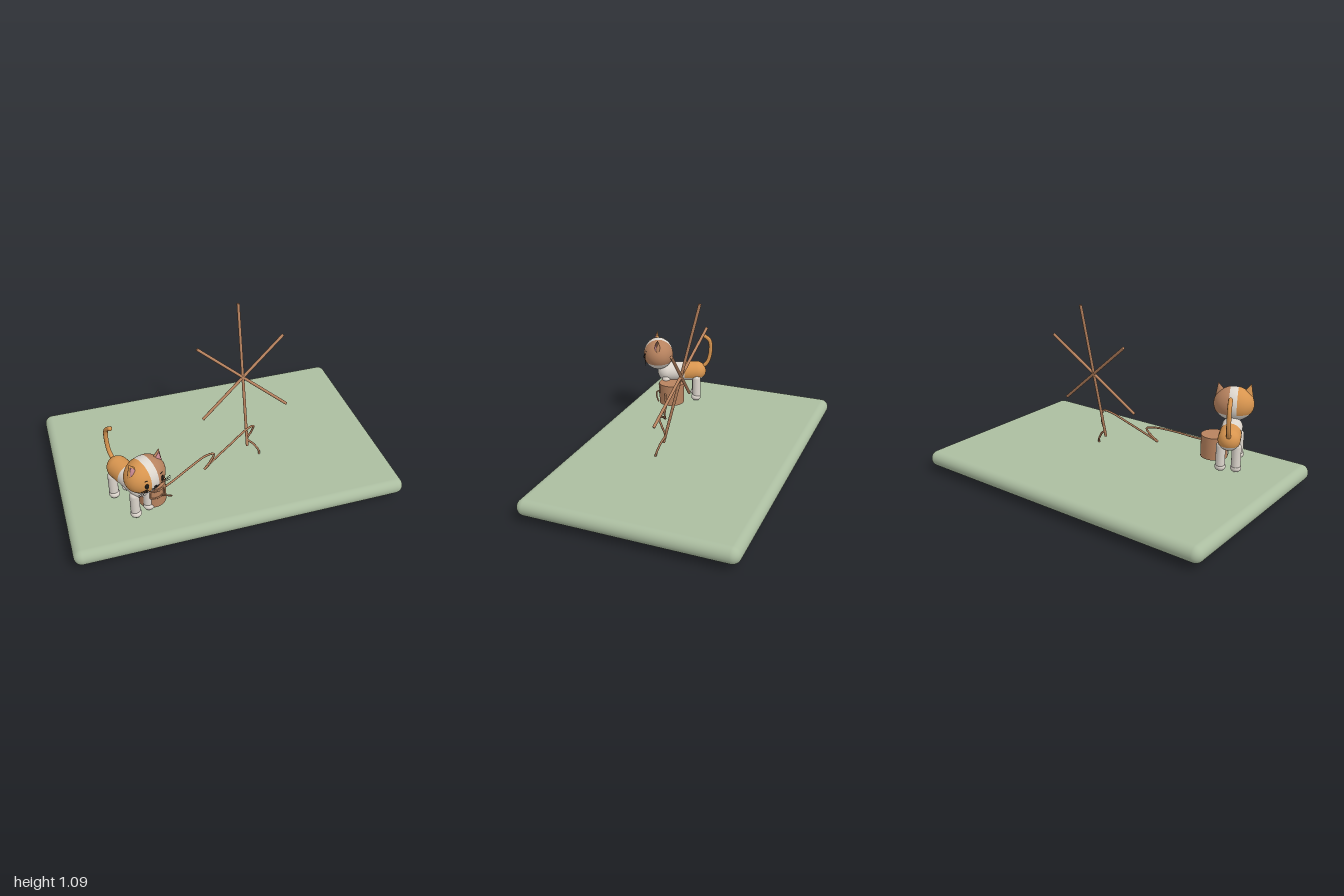
import * as THREE from 'three';
import { RoundedBoxGeometry } from 'three/addons/geometries/RoundedBoxGeometry.js';
import { ParametricGeometry } from 'three/addons/geometries/ParametricGeometry.js';

const material = (name, color) => {
  const m = new THREE.MeshStandardMaterial({ color });
  m.name = name;
  return m;
};

export function createModel() {
  const green = material('sage green', 0xabbda0);
  const brown = material('wood brown', 0xb8835f);
  const orange = material('ginger', 0xd8954f);
  const cream = material('cream white', 0xddd6cd);
  const pink = material('ear pink', 0xc98990);
  const dark = material('near black', 0x1c1815);

  const model = new THREE.Group();
  const add = (parent, name, geometry, mat, x = 0, y = 0, z = 0) => {
    const mesh = new THREE.Mesh(geometry, mat);
    mesh.name = name;
    mesh.position.set(x, y, z);
    parent.add(mesh);
    return mesh;
  };
  const tube = (parent, name, points, radius, mat, segments = 32, closed = false) => {
    const curve = new THREE.CatmullRomCurve3(points.map((p) => new THREE.Vector3(...p)), closed);
    add(parent, name, new THREE.TubeGeometry(curve, segments, radius, 8, closed), mat);
    if (closed) return;
    for (const p of [points[0], points[points.length - 1]]) {
      add(parent, name + 'End', new THREE.SphereGeometry(radius, 10, 8), mat, ...p);
    }
  };

  // Rounded ground slab
  add(model, 'groundSlab', new RoundedBoxGeometry(2, 0.1, 1.286, 6, 0.0495), green, 0, 0.085, 0);

  // Leaning star of three crossed sticks
  const star = new THREE.Group();
  star.name = 'stickStar';
  star.position.set(0.17, 0.645, 0);
  star.rotation.x = -0.253;
  model.add(star);
  for (const [length, angle] of [[0.92, 0], [0.7, 0.87], [0.7, -0.87]]) {
    add(star, 'stick', new THREE.CylinderGeometry(0.009, 0.009, length, 12), brown).rotation.z = angle;
  }

  // Rope from the cup to the star, with its end passing through the slab
  tube(model, 'rope', [
    [-0.44, 0.237, 0.37], [-0.36, 0.25, 0.335], [-0.25, 0.276, 0.285], [-0.13, 0.293, 0.23],
    [-0.077, 0.28, 0.215], [-0.105, 0.235, 0.228], [-0.148, 0.196, 0.243], [-0.09, 0.23, 0.222],
    [0.04, 0.3, 0.18], [0.16, 0.36, 0.14], [0.2, 0.362, 0.128], [0.195, 0.3, 0.108],
    [0.172, 0.245, 0.105], [0.21, 0.205, 0.12], [0.243, 0.14, 0.137], [0.2, 0.06, 0.155], [0.122, 0.01, 0.17],
  ], 0.0065, brown, 160);

  // Cup with its looped handle and loose cord
  add(model, 'cup', new THREE.CylinderGeometry(0.083, 0.083, 0.14, 40), brown, -0.492, 0.232, 0.345);
  const onCup = (x, y) => [x, y, 0.345 + Math.sqrt(0.085 ** 2 - (x + 0.492) ** 2)];
  tube(model, 'handle', [onCup(-0.515, 0.285), onCup(-0.475, 0.287), onCup(-0.436, 0.285), onCup(-0.433, 0.262),
    onCup(-0.436, 0.238), onCup(-0.475, 0.236), onCup(-0.515, 0.238), onCup(-0.518, 0.262)], 0.005, brown, 48, true);
  tube(model, 'cord', [[-0.45, 0.245, 0.422], [-0.43, 0.243, 0.428], [-0.405, 0.222, 0.418], [-0.388, 0.197, 0.398]], 0.005, brown);

  // Cat, turned towards its left
  const cat = new THREE.Group();
  cat.name = 'cat';
  cat.position.set(-0.547, 0, 0.465);
  cat.rotation.y = 0.43;
  model.add(cat);

  // Body, with a ginger rump patch laid over it
  const R = 0.065, bodyY = 0.345, rear = -0.26;
  add(cat, 'body', new THREE.CapsuleGeometry(R, 0.2, 12, 32), cream, 0, bodyY, -0.16).rotation.x = Math.PI / 2;
  add(cat, 'rumpPatch', new ParametricGeometry((u, v, p) => {
    const r0 = R + 0.0015, t = Math.min(u / 0.6, 1) * Math.PI / 2 + 0.005;
    const r = u < 0.6 ? r0 * Math.sin(t) : r0;
    const z = u < 0.6 ? rear - r0 * Math.cos(t) : rear + 0.086 * (u - 0.6) / 0.4;
    const phi = (2 * v - 1) * Math.acos(Math.max(-1, -0.03 / r));
    p.set(r * Math.sin(phi), bodyY + r * Math.cos(phi), z);
  }, 24, 36), orange);

  // Legs and paws
  for (const s of [-1, 1]) for (const z of [-0.05, rear]) {
    add(cat, 'leg', new THREE.CapsuleGeometry(0.028, 0.115, 8, 20), cream, s * 0.046, 0.245, z);
    const paw = add(cat, 'paw', new THREE.SphereGeometry(0.033, 20, 14), cream, s * 0.046, 0.17, z + 0.004);
    paw.scale.y = 0.8;
  }

  // Tail
  tube(cat, 'tail', [[0, 0.37, -0.3], [0, 0.41, -0.338], [0, 0.49, -0.358], [0, 0.565, -0.35], [0, 0.605, -0.305]], 0.0135, orange);

  // Head with one ginger and one brown patch, leaving a pale stripe
  const A = 0.122, B = 0.106, D = 0.1, headY = 0.478;
  add(cat, 'head', new THREE.SphereGeometry(1, 40, 28), cream, 0, headY, 0).scale.set(A, B, D);
  const faceZ = (x, y) => D * Math.sqrt(1 - (x / A) ** 2 - ((y - headY) / B) ** 2);
  for (const s of [-1, 1]) {
    const coat = s > 0 ? brown : orange;
    add(cat, 'headPatch', new ParametricGeometry((u, v, p) => {
      const t = 0.01 + u * (Math.acos(0.024 / A) - 0.01), k = 1.012;
      const phi = (2 * v - 1) * Math.acos(Math.max(-1, -0.45 / Math.sin(t)));
      p.set(s * A * Math.cos(t), B * Math.sin(t) * Math.cos(phi), s * D * Math.sin(t) * Math.sin(phi)).multiplyScalar(k);
      p.y += headY;
    }, 28, 40), coat);

    // Ears
    const ear = new THREE.Group();
    ear.name = 'ear';
    ear.position.set(s * 0.088, 0.565, 0.005);
    ear.rotation.z = -s * 0.28;
    cat.add(ear);
    add(ear, 'outerEar', new THREE.ConeGeometry(0.042, 0.088, 24), coat).scale.z = 0.55;
    add(ear, 'innerEar', new THREE.ConeGeometry(0.033, 0.072, 24), pink, 0, -0.006, 0.009).scale.z = 0.55;

    // Eyes and brows
    const eye = add(cat, 'eye', new THREE.SphereGeometry(1, 16, 12), dark, s * 0.052, 0.479, faceZ(0.052, 0.479));
    eye.scale.set(0.012, 0.018, 0.006);
    eye.rotation.y = s * 0.4;
    tube(cat, 'brow', [0.044, 0.052, 0.06].map((x, i) => [s * x, 0.514 - i * 0.001, faceZ(x, 0.513) + 0.002]), 0.0018, dark, 6);

    // Mouth curves and whiskers
    tube(cat, 'mouth', [[0, 0.447], [0.008, 0.439], [0.018, 0.441], [0.023, 0.448]]
      .map(([x, y]) => [s * x, y, faceZ(x, y) + 0.001]), 0.002, dark, 12);
    for (const k of [-1, 0, 1]) {
      tube(cat, 'whisker', [[s * 0.045, 0.448 + k * 0.006, faceZ(0.045, 0.448)],
        [s * 0.075, 0.449 + k * 0.009, 0.09], [s * 0.108, 0.447 + k * 0.014, 0.088]], 0.0013, dark, 8);
    }
  }
  add(cat, 'nose', new THREE.SphereGeometry(1, 14, 10), dark, 0, 0.455, faceZ(0, 0.455)).scale.set(0.01, 0.007, 0.006);

  return model;
}
